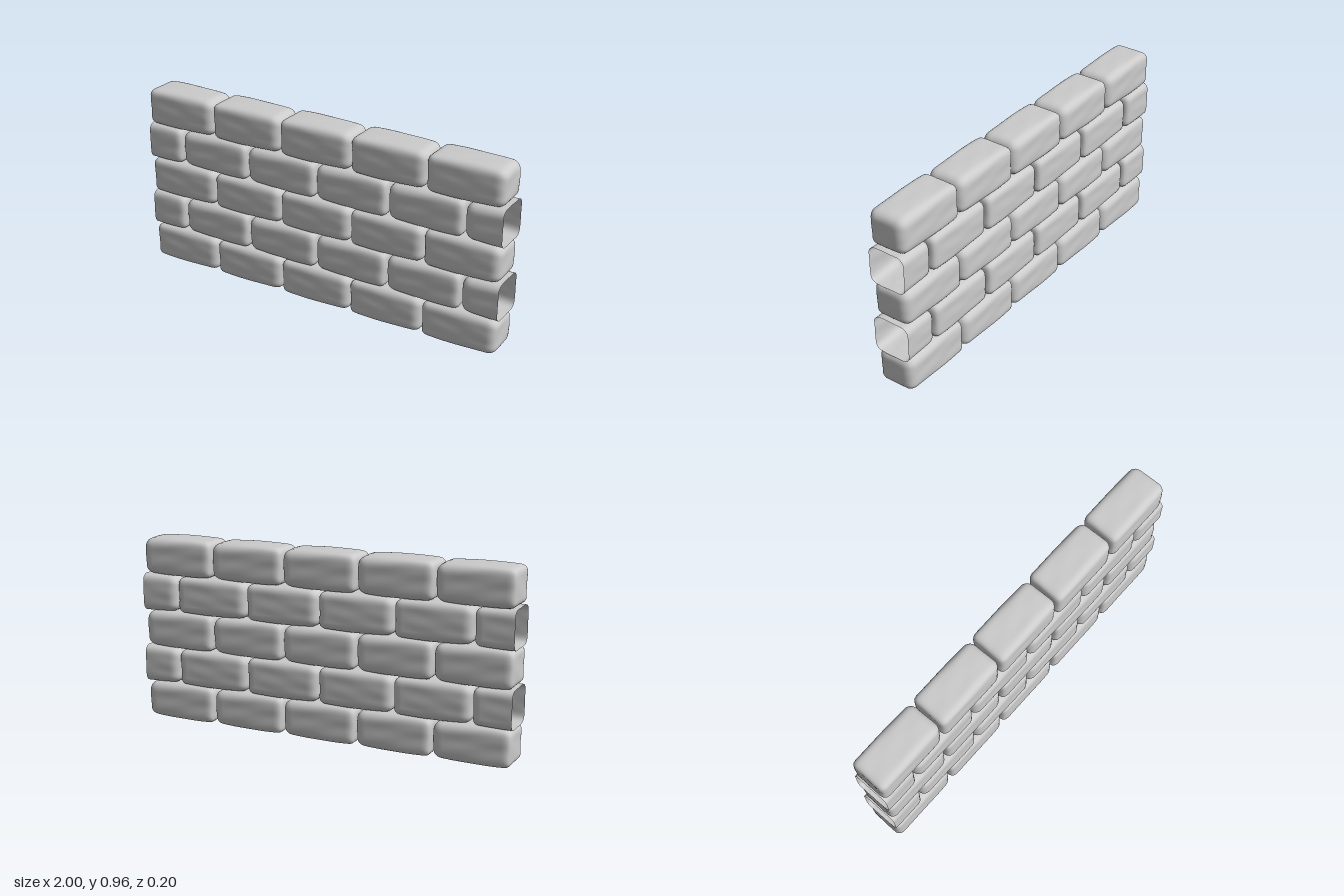
import * as THREE from 'three';
import { mergeVertices } from 'three/addons/utils/BufferGeometryUtils.js';

const W = 0.394, H = 0.196, D = 0.2; // stone size
const COLUMNS = 5, ROWS = 5, PITCH_X = 0.4, PITCH_Y = 0.191;

// Worn stone: a box rounded off, tapered to its ends and gently rippled.
// half = 0 keeps it whole; -1 or 1 keeps only that end, left open at the cut.
function stoneGeometry(half = 0) {
  let geo = new THREE.BoxGeometry(W, H, D, 26, 14, 14);
  geo.deleteAttribute('uv');
  geo.deleteAttribute('normal');
  geo = mergeVertices(geo);
  const pos = geo.attributes.position;
  const p = new THREE.Vector3(), core = new THREE.Vector3();
  for (let i = 0; i < pos.count; i++) {
    p.fromBufferAttribute(pos, i);
    // one end is squarer than the other
    const r = THREE.MathUtils.lerp(0.03, 0.044, THREE.MathUtils.smoothstep(p.x, -W / 2, W / 2));
    core.set(
      THREE.MathUtils.clamp(p.x, -W / 2 + r, W / 2 - r),
      THREE.MathUtils.clamp(p.y, -H / 2 + r, H / 2 - r),
      THREE.MathUtils.clamp(p.z, -D / 2 + r, D / 2 - r));
    p.sub(core).normalize().multiplyScalar(r).add(core);
    const u = p.x / (W / 2), v = p.y / (H / 2), w = p.z / (D / 2);
    // top and bottom sag towards the ends
    p.y *= 1 - 0.07 * Math.abs(u) ** 2.5 - 0.015 * w * w;
    // shallow ripples running along the stone
    p.z *= 1 - 0.012 * (1 + Math.sin(v * 7 + u * 1.5) * Math.cos(u * 3 + w));
    p.y *= 1 - 0.008 * (1 + Math.sin(w * 6 + u * 2) * Math.cos(u * 4));
    p.x *= 1 - 0.006 * (1 + Math.sin(v * 4 + w * 3));
    pos.setXYZ(i, p.x, p.y, p.z);
  }
  geo.computeVertexNormals();
  if (half) {
    const kept = [], index = geo.index.array;
    for (let i = 0; i < index.length; i += 3) {
      const tri = [index[i], index[i + 1], index[i + 2]];
      if (tri.reduce((sum, k) => sum + pos.getX(k), 0) * half > 0) kept.push(...tri);
    }
    geo.setIndex(kept);
  }
  return geo;
}

export function createModel() {
  const wall = new THREE.Group();
  wall.name = 'stoneWall';
  const material = new THREE.MeshStandardMaterial({ color: 0xcccccc, side: THREE.DoubleSide });
  const whole = stoneGeometry(), squareHalf = stoneGeometry(-1), roundHalf = stoneGeometry(1);

  for (let row = 0; row < ROWS; row++) {
    const course = new THREE.Group();
    course.name = `course${row + 1}`;
    course.position.y = 0.097 + row * PITCH_Y;
    const offset = row % 2 === 1;
    const addStone = (name, geometry, x) => {
      const stone = new THREE.Mesh(geometry, material);
      stone.name = name;
      stone.position.x = x;
      if (offset) stone.rotation.y = Math.PI; // alternate courses are turned round
      course.add(stone);
    };
    const count = offset ? COLUMNS - 1 : COLUMNS;
    for (let i = 0; i < count; i++) addStone('stone', whole, (i - (count - 1) / 2) * PITCH_X);
    // open half stones finish the offset courses
    if (offset) {
      addStone('rightHalfStone', squareHalf, -1);
      addStone('leftHalfStone', roundHalf, 1);
    }
    wall.add(course);
  }
  return wall;
}
